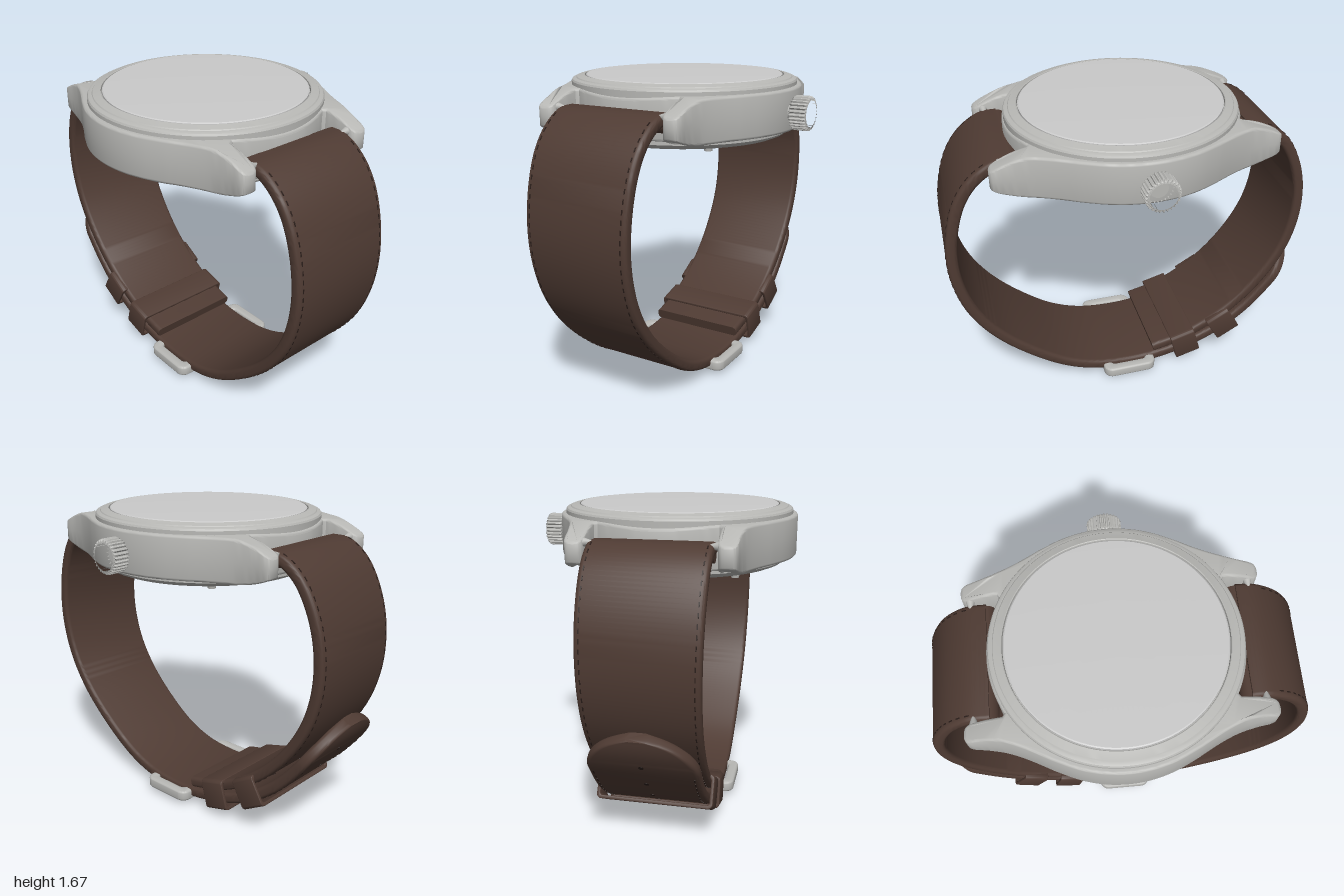
import * as THREE from 'three';
import { mergeGeometries, toCreasedNormals } from 'three/addons/utils/BufferGeometryUtils.js';

const mat = (name, color) => {
  const m = new THREE.MeshStandardMaterial({ color });
  m.name = name;
  return m;
};

export function createModel() {
  const steel = mat('brushed steel', 0xb8b8b5);
  const glass = mat('pale crystal', 0xcacaca);
  const backGlass = mat('grey back glass', 0x80807f);
  const leather = mat('brown leather', 0x4f3b33);
  const thread = mat('dark thread', 0x2a1e1a);

  const model = new THREE.Group();
  model.name = 'wristwatch';
  const watch = new THREE.Group();
  watch.name = 'watch';
  watch.position.x = -0.06;
  model.add(watch);

  const add = (name, geo, material, x = 0, y = 0, z = 0) => {
    const m = new THREE.Mesh(geo, material);
    m.name = name;
    m.position.set(x, y, z);
    watch.add(m);
    return m;
  };
  const lathe = (pts, seg = 96) =>
    toCreasedNormals(new THREE.LatheGeometry(pts.map(p => new THREE.Vector2(...p)), seg), 0.4);

  // Case with four lugs: one quarter of the outline, mirrored
  const quarter = [];
  for (let i = 0; i <= 12; i++) {
    const a = (i / 12) * 0.47;
    quarter.push([0.63 * Math.cos(a), 0.63 * Math.sin(a)]);
  }
  const flank = new THREE.SplineCurve([[0.535, 0.34], [0.475, 0.45], [0.432, 0.55], [0.412, 0.64], [0.405, 0.71], [0.385, 0.735],
    [0.34, 0.735], [0.318, 0.715], [0.312, 0.66], [0.31, 0.55]].map(p => new THREE.Vector2(...p)));
  flank.getPoints(36).forEach(p => quarter.push([p.x, p.y]));
  for (let i = 0; i <= 10; i++) {
    const a = 1.07 + (i / 10) * (Math.PI / 2 - 1.07);
    quarter.push([0.615 * Math.cos(a), 0.615 * Math.sin(a)]);
  }
  const half = [...quarter, ...quarter.slice(0, -1).reverse().map(([x, y]) => [-x, y])];
  const outline = [...half, ...half.slice(1, -1).reverse().map(([x, y]) => [x, -y])];
  const caseGeo = new THREE.ExtrudeGeometry(new THREE.Shape(outline.map(p => new THREE.Vector2(...p))), {
    depth: 0.19, bevelEnabled: true, bevelSize: 0.014, bevelThickness: 0.014, bevelOffset: -0.014, bevelSegments: 3, steps: 2
  });
  caseGeo.rotateX(-Math.PI / 2);
  // Lugs taper toward their tips
  const pos = caseGeo.attributes.position;
  for (let i = 0; i < pos.count; i++) {
    const s = THREE.MathUtils.clamp((Math.abs(pos.getZ(i)) - 0.53) / 0.21, 0, 1);
    const k = (pos.getY(i) + 0.014) / 0.218;
    pos.setY(i, THREE.MathUtils.lerp(1.402 + 0.05 * s * s, 1.62 - 0.075 * Math.pow(s, 1.6), k));
  }
  add('case', toCreasedNormals(caseGeo, 0.6), steel, 0, 0, 0.005);

  // Bezel, crystal and case back
  add('bezel', lathe([[0.605, 1.6], [0.605, 1.638], [0.6, 1.647], [0.59, 1.652], [0.58, 1.653], [0.576, 1.658],
    [0.538, 1.668], [0.534, 1.666], [0.532, 1.65], [0.51, 1.65]]), steel, 0, 0, 0.006);
  add('crystal', lathe([[0.528, 1.645], [0.528, 1.666], [0.522, 1.67], [0.4, 1.674], [0.2, 1.677], [0, 1.678]]), glass, 0, 0, 0.006);
  add('caseBack', lathe([[0, 1.338], [0.42, 1.338], [0.445, 1.352], [0.525, 1.354], [0.555, 1.366], [0.57, 1.38], [0.57, 1.41]]),
    steel, 0, 0, 0.012);
  add('backGlass', new THREE.CylinderGeometry(0.4, 0.4, 0.008, 72), backGlass, 0, 1.336, 0.012);
  for (let i = 0; i < 4; i++) {
    const a = Math.PI / 4 + i * Math.PI / 2;
    const x = 0.495 * Math.cos(a), z = 0.012 + 0.495 * Math.sin(a);
    add('backScrew', new THREE.CylinderGeometry(0.024, 0.02, 0.025, 16), steel, x, 1.35, z);
    add('screwSlot', new THREE.BoxGeometry(0.028, 0.004, 0.006), thread, x, 1.337, z);
  }

  // Ribbed crown on its stem
  const ribs = [];
  for (let i = 0; i < 112; i++) {
    const a = (i / 112) * Math.PI * 2, r = i % 4 < 2 ? 0.088 : 0.08;
    ribs.push(new THREE.Vector2(r * Math.cos(a), r * Math.sin(a)));
  }
  const crown = new THREE.ExtrudeGeometry(new THREE.Shape(ribs), {
    depth: 0.066, bevelEnabled: true, bevelSize: 0.012, bevelThickness: 0.013, bevelOffset: -0.012, bevelSegments: 3
  });
  add('crown', crown.rotateY(Math.PI / 2), steel, 0.66, 1.502, 0.006);
  add('crownStem', new THREE.CylinderGeometry(0.045, 0.045, 0.1, 24).rotateZ(Math.PI / 2), steel, 0.62, 1.502, 0.006);

  // Straps: rounded section swept along a side profile of [z, y] points
  const X = new THREE.Vector3(1, 0, 0);
  const frameAt = (curve, u) => {
    const T = curve.getTangentAt(u);
    return { P: curve.getPointAt(u), T, N: new THREE.Vector3(0, T.z, -T.y) };
  };
  const curveOf = pts => new THREE.CatmullRomCurve3(pts.map(([z, y]) => new THREE.Vector3(0, y, z)), false, 'centripetal');

  function strapGeometry(curve, widthAt, steps) {
    const verts = [], index = [], thick = 0.03, n = 20;
    for (let i = 0; i <= steps; i++) {
      const u = i / steps, { P, N } = frameAt(curve, u), w = widthAt(u), r = Math.min(0.022, w * 0.5);
      for (let q = 0; q < 4; q++) for (let c = 0; c < 5; c++) {
        const a = (q + c / 4) * Math.PI / 2;
        const sx = q === 0 || q === 3 ? 1 : -1, sn = q < 2 ? 1 : -1;
        const x = sx * (w - r) + r * Math.cos(a), h = sn * (thick - 0.02) + 0.02 * Math.sin(a);
        verts.push(x, P.y + N.y * h, P.z + N.z * h);
      }
    }
    for (let i = 0; i < steps; i++) for (let j = 0; j < n; j++) {
      const a = i * n + j, b = i * n + (j + 1) % n;
      index.push(a, b, a + n, b, b + n, a + n);
    }
    for (let j = 1; j < n - 1; j++) {
      const e = steps * n;
      index.push(0, j + 1, j, e, e + j, e + j + 1);
    }
    const g = new THREE.BufferGeometry();
    g.setAttribute('position', new THREE.Float32BufferAttribute(verts, 3));
    g.setIndex(index);
    return toCreasedNormals(g, 0.7);
  }

  // Place a small detail on the strap surface
  const placed = (geo, curve, u, x, h) => {
    const { P, T, N } = frameAt(curve, u);
    const m = new THREE.Matrix4().makeBasis(X, N, T).setPosition(P.clone().addScaledVector(N, h).setX(x));
    return geo.applyMatrix4(m);
  };
  const stitches = (curve, widthAt, from, to) => {
    const parts = [], count = Math.round(curve.getLength() * (to - from) / 0.045);
    for (let i = 0; i <= count; i++) for (const s of [-1, 1]) {
      const u = from + (to - from) * i / count;
      parts.push(placed(new THREE.BoxGeometry(0.006, 0.005, 0.024), curve, u, s * (widthAt(u) - 0.027), 0.0295));
    }
    return mergeGeometries(parts);
  };

  const longCurve = curveOf([[0.62, 1.525], [0.7, 1.52], [0.8, 1.46], [0.88, 1.36], [0.94, 1.2], [0.967, 1.0], [0.95, 0.82],
    [0.89, 0.64], [0.78, 0.47], [0.62, 0.31], [0.42, 0.165], [0.25, 0.095], [0.08, 0.07], [-0.1, 0.073], [-0.3, 0.112],
    [-0.5, 0.19], [-0.68, 0.315], [-0.83, 0.48], [-0.92, 0.61], [-0.968, 0.71]]);
  const longWidth = u => {
    const w = 0.3 - 0.025 * Math.min(1, u / 0.5), t = Math.max(0, (u - 0.93) / 0.07);
    return w * Math.max(0.2, Math.sqrt(1 - t * t));
  };
  const shortCurve = curveOf([[-0.12, 0.14], [-0.3, 0.187], [-0.5, 0.29], [-0.66, 0.42], [-0.8, 0.59], [-0.89, 0.76],
    [-0.935, 0.95], [-0.93, 1.15], [-0.88, 1.32], [-0.8, 1.45], [-0.7, 1.52], [-0.61, 1.525]]);
  const shortWidth = u => 0.275 + 0.025 * u;
  add('longStrap', strapGeometry(longCurve, longWidth, 180), leather);
  add('shortStrap', strapGeometry(shortCurve, shortWidth, 90), leather);
  add('longStrapStitches', stitches(longCurve, longWidth, 0.04, 0.92), thread);
  add('shortStrapStitches', stitches(shortCurve, shortWidth, 0.05, 0.95), thread);

  // Adjustment holes through the long strap
  const holes = [];
  for (let i = 0; i < 6; i++)
    holes.push(placed(new THREE.CylinderGeometry(0.013, 0.013, 0.064, 16), longCurve, 0.945 - i * 0.05, 0, 0));
  add('strapHoles', mergeGeometries(holes), thread);

  // Strap ends around the bars, and bar pins inside the lugs
  for (const s of [-1, 1]) {
    add('strapEndRoll', new THREE.CylinderGeometry(0.045, 0.045, 0.58, 24).rotateZ(Math.PI / 2), leather, 0, 1.5, s * 0.615);
    for (const k of [-1, 1])
      add('barPin', new THREE.ConeGeometry(0.022, 0.065, 16).rotateZ(k * Math.PI / 2), steel, k * 0.284, 1.545, s * 0.685);
  }

  // Rounded rectangular ring, extruded
  const roundRect = (P, w, h, r) => {
    const p = new P();
    p.absarc(w - r, h - r, r, 0, Math.PI / 2);
    p.absarc(r - w, h - r, r, Math.PI / 2, Math.PI);
    p.absarc(r - w, r - h, r, Math.PI, Math.PI * 1.5);
    p.absarc(w - r, r - h, r, Math.PI * 1.5, Math.PI * 2);
    p.closePath();
    return p;
  };
  const ring = (w, h, r, iw, ih, ir, depth, bevel) => {
    const shape = roundRect(THREE.Shape, w, h, r);
    shape.holes.push(roundRect(THREE.Path, iw, ih, ir));
    const g = new THREE.ExtrudeGeometry(shape, { depth: depth - 2 * bevel, bevelEnabled: true, bevelSize: bevel,
      bevelThickness: bevel, bevelOffset: -bevel, bevelSegments: 3, curveSegments: 8 });
    return toCreasedNormals(g.translate(0, 0, bevel - depth / 2), 0.6);
  };

  // Two leather keeper loops
  for (const [z, y, tilt] of [[-0.315, 0.146, 0.27], [-0.55, 0.25, 0.52]])
    add('keeperLoop', ring(0.304, 0.087, 0.025, 0.286, 0.069, 0.015, 0.15, 0.004), leather, 0, y, z).rotation.x = tilt;

  // Buckle frame and prong
  add('buckleFrame', ring(0.34, 0.155, 0.05, 0.285, 0.105, 0.025, 0.06, 0.012).rotateX(Math.PI / 2), steel, 0, 0.062, 0.035);
  const prong = new THREE.CatmullRomCurve3([[0, 0.05, -0.08], [0, 0.03, -0.04], [0, 0.024, 0.08], [0, 0.021, 0.175]]
    .map(p => new THREE.Vector3(...p)));
  add('buckleProng', new THREE.TubeGeometry(prong, 20, 0.014, 12), steel);
  add('prongTip', new THREE.SphereGeometry(0.0155, 16, 12), steel, 0, 0.021, 0.175);

  return model;
}
